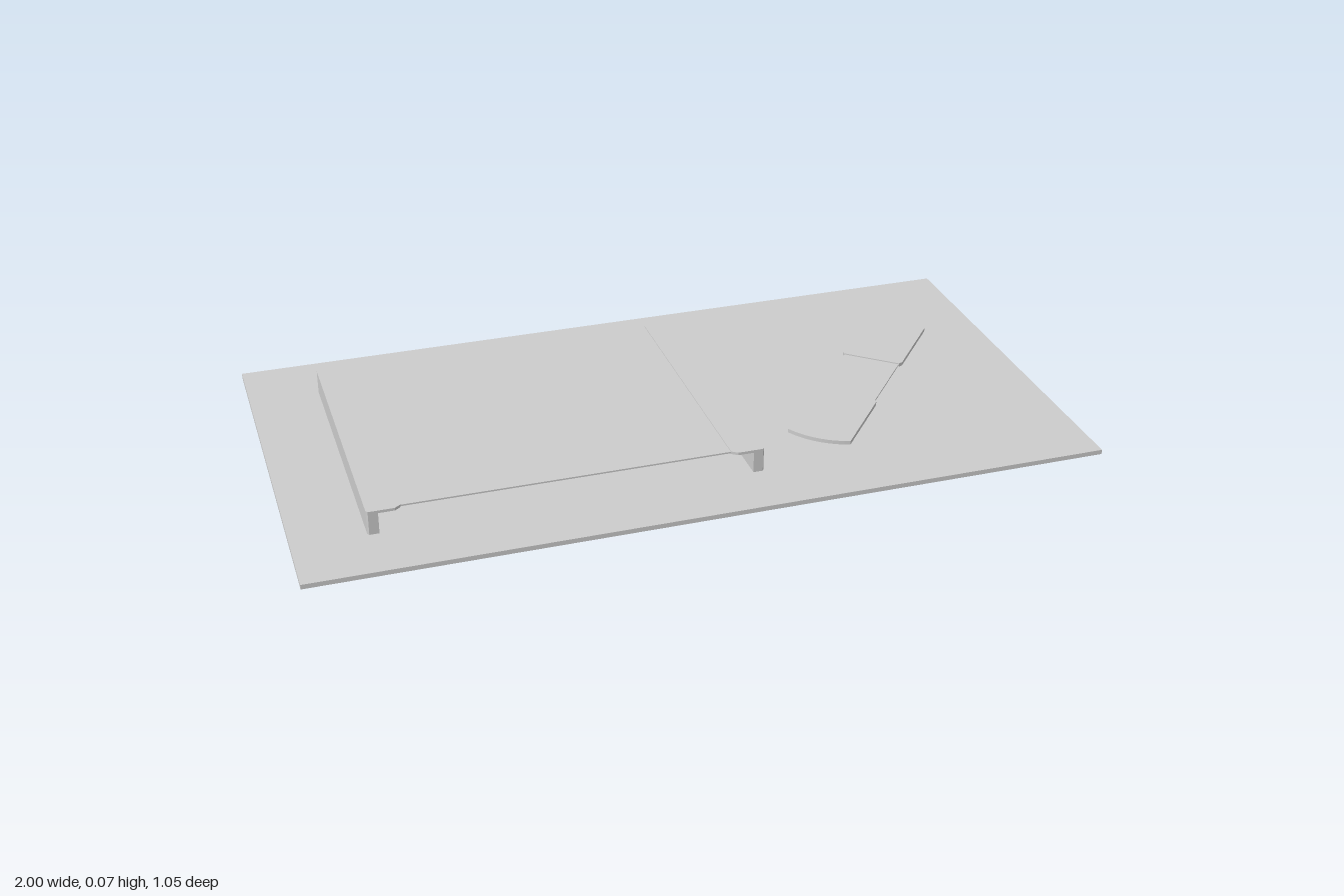
import * as THREE from 'three';

const material = new THREE.MeshStandardMaterial({ color: 0xcccccc });

// Flat slab: plan outline (x, -z) raised from y0 to y1
function slab(name, shape, y0, y1) {
  const geo = new THREE.ExtrudeGeometry(shape, { depth: y1 - y0, bevelEnabled: false, curveSegments: 12 });
  geo.rotateX(-Math.PI / 2).translate(0, y0, 0);
  const mesh = new THREE.Mesh(geo, material);
  mesh.name = name;
  return mesh;
}

function box(name, x0, x1, y0, y1, halfZ) {
  const geo = new THREE.BoxGeometry(x1 - x0, y1 - y0, halfZ * 2);
  geo.translate((x0 + x1) / 2, (y0 + y1) / 2, 0);
  const mesh = new THREE.Mesh(geo, material);
  mesh.name = name;
  return mesh;
}

const BASE = 0.012;

// Tray: thin sheet carried by two thicker rails along its sides
function createTray() {
  const tray = new THREE.Group();
  tray.name = 'tray';
  const half = 0.49;
  tray.add(box('traySheet', -half + 0.02, half - 0.02, 0.068, 0.072, 0.355));
  for (const s of [-1, 1]) {
    // Lip narrows to the sheet's width at its inner edge
    const lip = new THREE.Shape([
      [half, 0.362], [half - 0.004, 0.368], [half - 0.068, 0.368], [half - 0.083, 0.357],
      [half - 0.083, -0.357], [half - 0.068, -0.368], [half - 0.004, -0.368], [half, -0.362],
    ].map(([x, z]) => new THREE.Vector2(s * x, z)));
    tray.add(slab(s < 0 ? 'rightLip' : 'leftLip', lip, 0.067, 0.074));
    const leg = new THREE.Shape([
      [half, 0.362], [half - 0.004, 0.368], [half - 0.028, 0.368],
      [half - 0.028, -0.368], [half - 0.004, -0.368], [half, -0.362],
    ].map(([x, z]) => new THREE.Vector2(s * x, z)));
    tray.add(slab(s < 0 ? 'rightLeg' : 'leftLeg', leg, BASE, 0.067));
  }
  tray.position.x = -0.33;
  return tray;
}

// Strap: two thick pads with curved ends joined by a thin, narrower web
function createStrap() {
  const strap = new THREE.Group();
  strap.name = 'strap';
  const w = 0.083;
  for (const s of [-1, 1]) {
    const pad = new THREE.Shape();
    pad.moveTo(s * 0.11, -w + 0.006);
    pad.lineTo(s * 0.12, -w);
    pad.lineTo(s * 0.342, -w);
    pad.quadraticCurveTo(s * 0.376, 0, s * 0.342, w);
    pad.lineTo(s * 0.12, w);
    pad.lineTo(s * 0.11, w - 0.006);
    pad.closePath();
    strap.add(slab(s < 0 ? 'frontPad' : 'backPad', pad, BASE + 0.001, 0.023));
  }
  strap.add(box('strapWeb', -0.115, 0.115, 0.016, 0.02, w - 0.007));
  strap.rotation.y = 0.875;
  strap.position.x = 0.565;
  return strap;
}

export function createModel() {
  const model = new THREE.Group();
  model.name = 'trayAndStrapOnPlate';
  model.add(box('basePlate', -1, 1, 0, BASE, 0.527), createTray(), createStrap());
  return model;
}
